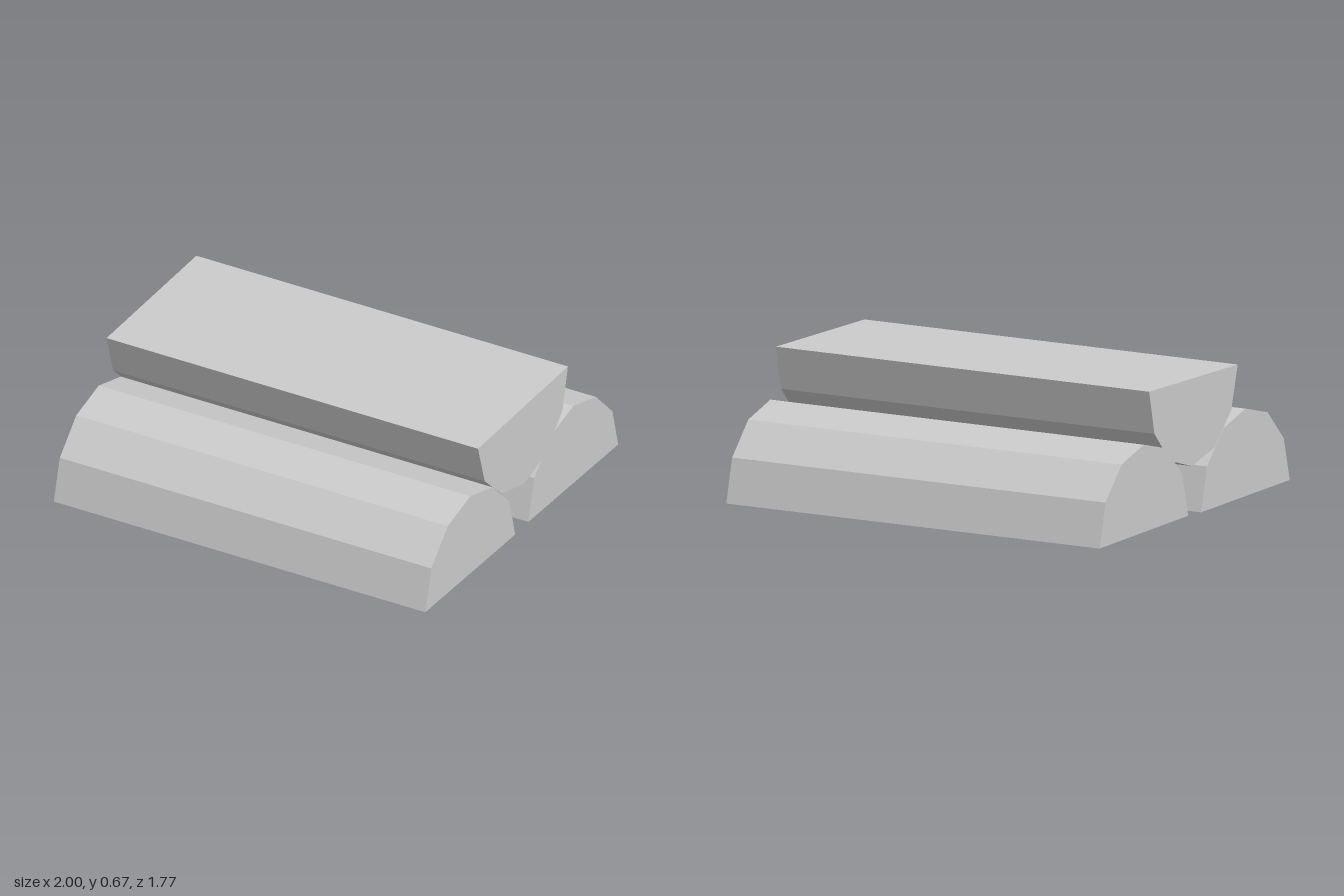
import * as THREE from 'three';

const LENGTH = 1.996, HALF_WIDTH = 0.412, HEIGHT = 0.415, SIDES = 6;

// Half log lying along x, flat face down at y = 0
function halfLogGeometry() {
  const points = [];
  for (let i = 0; i <= SIDES; i++) {
    const a = (i / SIDES) * Math.PI;
    points.push(new THREE.Vector2(HALF_WIDTH * Math.cos(a), HEIGHT * Math.sin(a)));
  }
  const geometry = new THREE.ExtrudeGeometry(new THREE.Shape(points), { depth: LENGTH, bevelEnabled: false });
  return geometry.translate(0, 0, -LENGTH / 2).rotateY(Math.PI / 2);
}

export function createModel() {
  const group = new THREE.Group();
  group.name = 'splitLogStack';
  const geometry = halfLogGeometry();
  const material = new THREE.MeshStandardMaterial({ color: 0xcccccc, flatShading: true });

  const addLog = (name, y, z, tiltX, tiltZ) => {
    const log = new THREE.Mesh(geometry, material);
    log.name = name;
    log.position.set(0, y, z);
    log.rotation.set(tiltX, 0, tiltZ);
    group.add(log);
  };

  // Two logs flat side down, the third upside down in the gap between them
  addLog('frontLog', 0.007, 0.473, -0.006, 0.003);
  addLog('backLog', 0.007, -0.471, -0.008, 0.003);
  addLog('topLog', 0.653, -0.01, Math.PI + 0.024, -0.003);
  return group;
}
